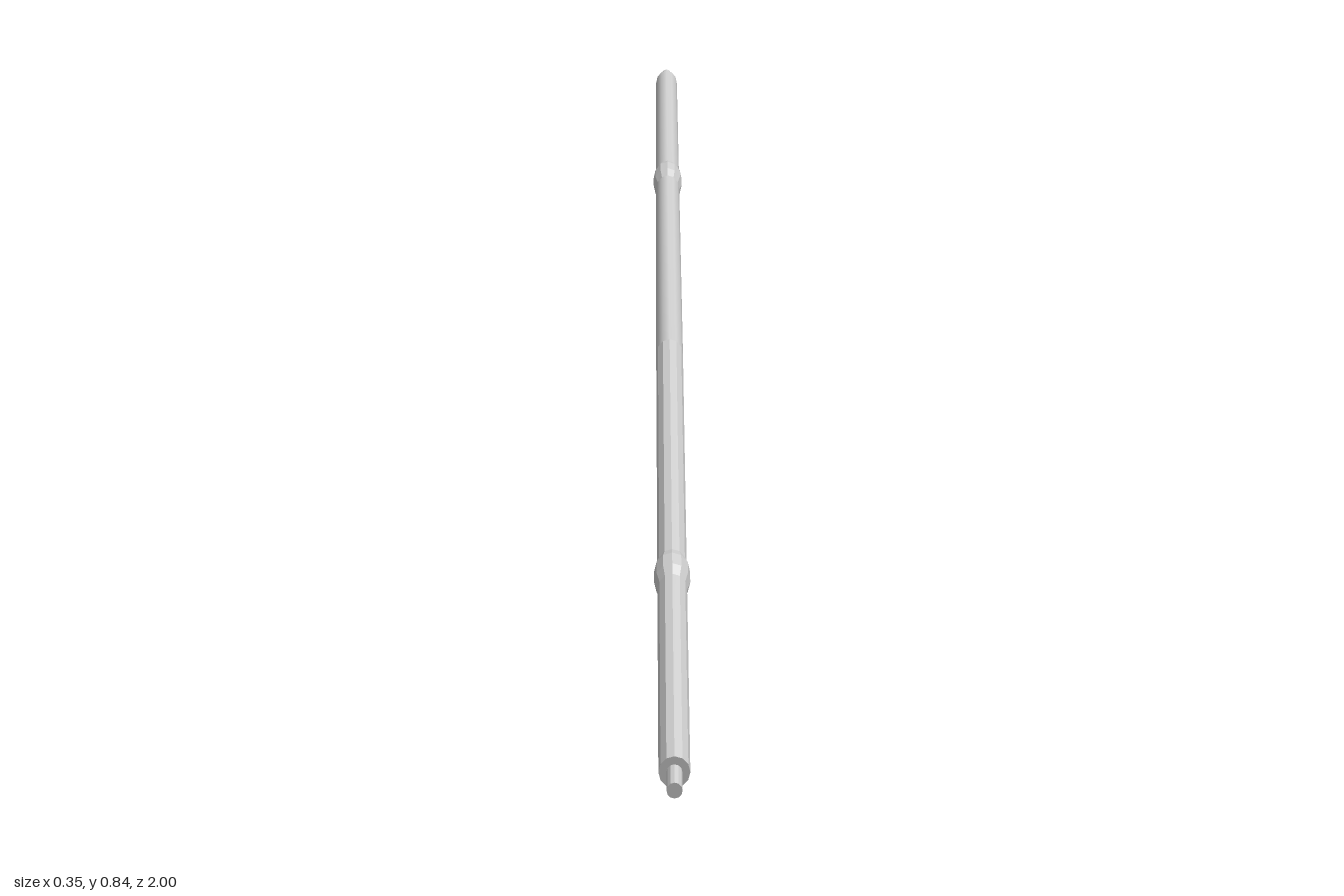
import * as THREE from 'three';

const smooth = new THREE.MeshStandardMaterial({ color: 0xcccccc });
const faceted = new THREE.MeshStandardMaterial({ color: 0xcccccc, flatShading: true });

const SIDES = 12;
const HALF = 1.048;   // half length of the shaft
const BAND = 0.62;    // distance of the collars from the middle
const R_MID = 0.034, R_END = 0.032;

function tube(name, rTop, rBottom, y0, y1, material, open = false) {
  const geo = new THREE.CylinderGeometry(rTop, rBottom, y1 - y0, SIDES, 1, open);
  geo.translate(0, (y0 + y1) / 2, 0);
  const mesh = new THREE.Mesh(geo, material);
  mesh.name = name;
  return mesh;
}

export function createModel() {
  const model = new THREE.Group();
  model.name = 'staff';
  const pole = new THREE.Group();
  pole.name = 'pole';
  model.add(pole);

  // Shaft: smooth upper half, faceted lower half
  pole.add(tube('upperShaft', R_END, R_MID, 0, HALF, smooth));
  pole.add(tube('lowerShaft', R_MID, R_END, -HALF, 0, faceted));

  // Bevelled collars and end pegs, mirrored about the middle
  const collarProfile = [[0.032, -0.032], [0.040, -0.013], [0.040, 0.013], [0.032, 0.032]]
    .map(([r, y]) => new THREE.Vector2(r, y));
  for (const s of [1, -1]) {
    const side = s > 0 ? 'upper' : 'lower';
    const collar = new THREE.Mesh(new THREE.LatheGeometry(collarProfile, SIDES), faceted);
    collar.name = side + 'Collar';
    collar.position.y = s * BAND;
    pole.add(collar);
    const a = s * (HALF - 0.01), b = s * (HALF + 0.036);
    pole.add(tube(side + 'Peg', 0.016, 0.016, Math.min(a, b), Math.max(a, b), faceted));
  }

  // Oval section (narrow sideways), then lean the pole along its diagonal
  const axis = new THREE.Vector3(-0.304, 0.776, -1.924).normalize();
  const across = new THREE.Vector3().crossVectors(axis, new THREE.Vector3(0, 1, 0)).normalize();
  const upright = new THREE.Vector3().crossVectors(across, axis);
  pole.quaternion.setFromRotationMatrix(new THREE.Matrix4().makeBasis(across, axis, upright));
  pole.scale.set(0.72, 1, 1);
  pole.position.y = 0.42;
  return model;
}
